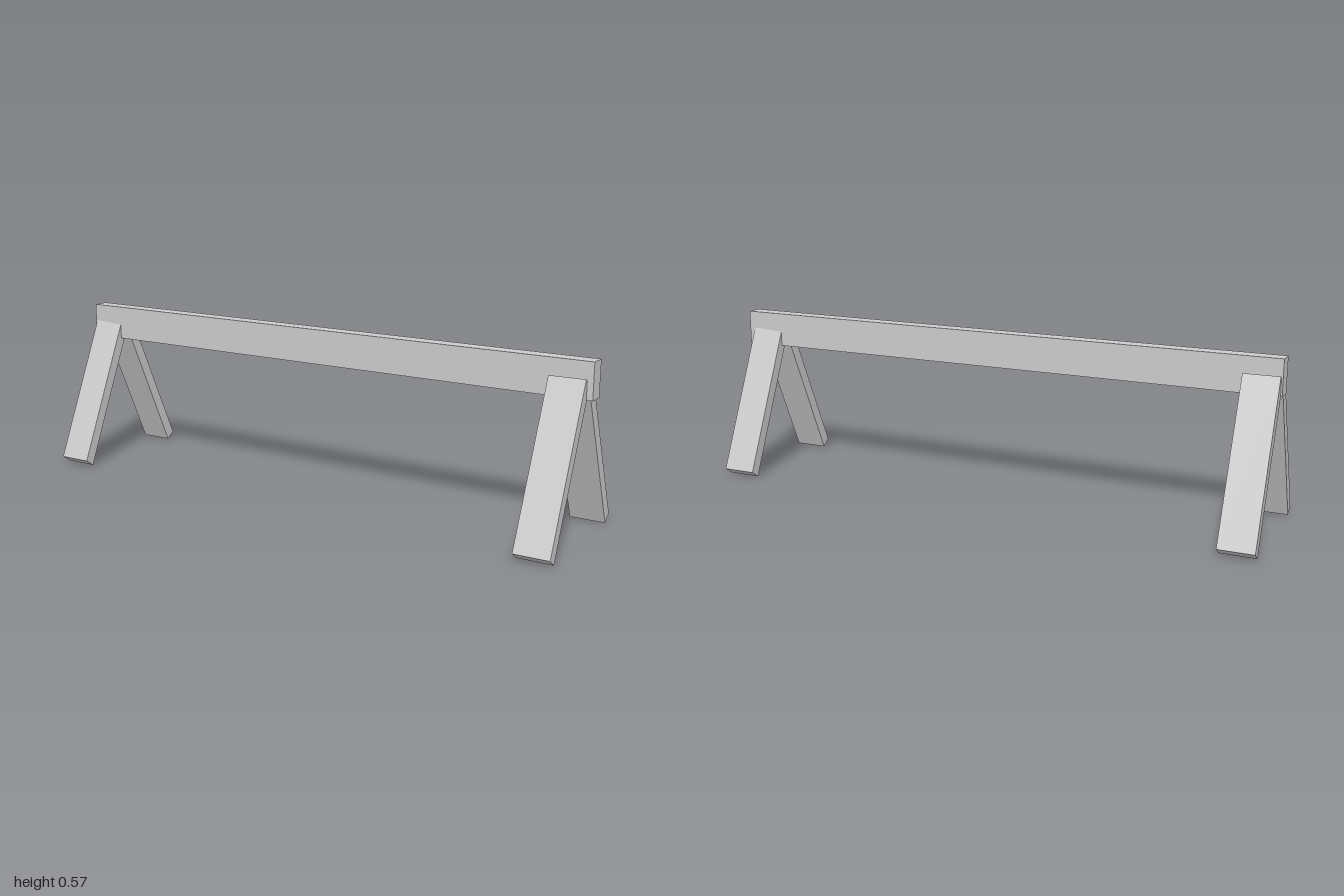
import * as THREE from 'three';

const LEG_WIDTH = 0.119;
const YAW = 0.026; // slight twist of each leg pair

// Leaning plank: side outline in (z, y), extruded across its width
function legGeometry() {
  const outline = new THREE.Shape([
    new THREE.Vector2(0.223, 0),
    new THREE.Vector2(0.256, 0.023),
    new THREE.Vector2(0.030, 0.521),
    new THREE.Vector2(-0.003, 0.499),
  ]);
  const geometry = new THREE.ExtrudeGeometry(outline, { depth: LEG_WIDTH, bevelEnabled: false });
  geometry.translate(0, 0, -LEG_WIDTH / 2);
  geometry.rotateY(-Math.PI / 2);
  return geometry;
}

export function createModel() {
  const model = new THREE.Group();
  model.name = 'sawhorse';
  const material = new THREE.MeshStandardMaterial({ color: 0xcccccc, flatShading: true });

  // Long top beam
  const beam = new THREE.Mesh(new THREE.BoxGeometry(2, 0.119, 0.054), material);
  beam.name = 'beam';
  beam.position.y = 0.515;
  model.add(beam);

  // A pair of splayed legs at each end, set slightly off the centre line
  const geometry = legGeometry();
  const pairs = [
    { side: 'left', x: 0.92, z: 0.0075 },
    { side: 'right', x: -0.935, z: -0.0075 },
  ];
  for (const { side, x, z } of pairs) {
    const pair = new THREE.Group();
    pair.name = `${side}LegPair`;
    pair.position.set(x, 0, z);
    pair.rotation.y = YAW;
    for (const end of ['front', 'back']) {
      const leg = new THREE.Mesh(geometry, material);
      leg.name = `${end}Leg`;
      leg.rotation.y = end === 'front' ? 0 : Math.PI;
      pair.add(leg);
    }
    model.add(pair);
  }
  return model;
}
